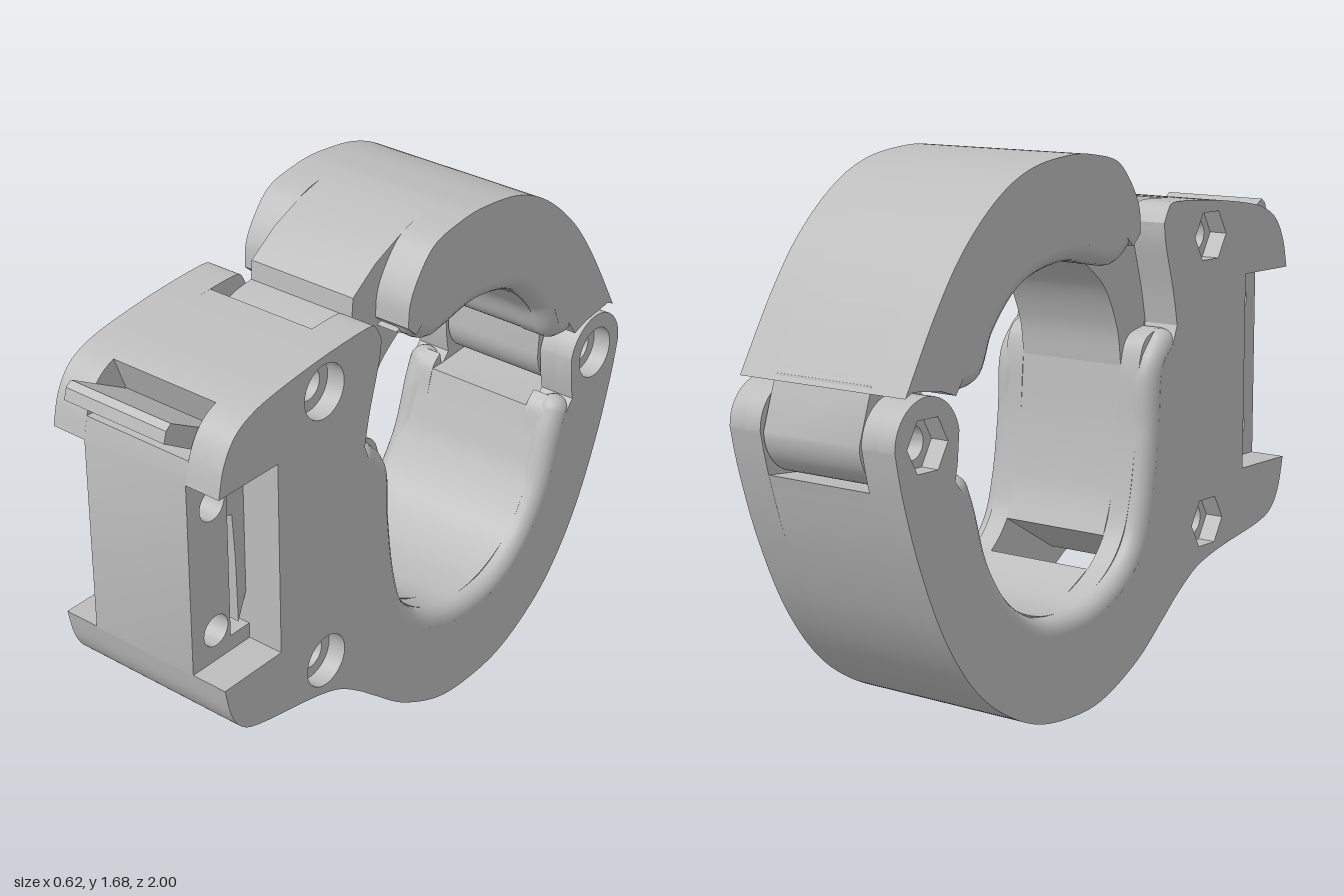
import * as THREE from 'three';
import { toCreasedNormals } from 'three/addons/utils/BufferGeometryUtils.js';

const HALF = 0.31, MID = 0.19, RIM = 0.05;

// All profiles are lists of [z, y] points, extruded along x.
const curve = (pts, n = 8) =>
  new THREE.SplineCurve(pts.map(p => new THREE.Vector2(...p)))
    .getPoints(n * (pts.length - 1)).map(v => [v.x, v.y]);

const arc = (z, y, r, a0, a1, n = 24) => Array.from({ length: n + 1 }, (_, i) => {
  const a = THREE.MathUtils.degToRad(a0 + (a1 - a0) * i / n);
  return [z + r * Math.cos(a), y + r * Math.sin(a)];
});
const hole = (z, y, r, sides = 32) => arc(z, y, r, 0, 360, sides).slice(0, sides);

const toPath = (pts, Kind) => new Kind(pts.map(p => new THREE.Vector2(...p)));

export function createModel() {
  const model = new THREE.Group();
  model.name = 'hingedClamp';
  const grey = new THREE.MeshStandardMaterial({ color: 0xbcbcbc });
  grey.name = 'grey';

  const add = (name, geo) => {
    const mesh = new THREE.Mesh(geo, grey);
    mesh.name = name;
    model.add(mesh);
  };
  const slab = (name, pts, x0, x1, holes = []) => {
    const shape = toPath(pts, THREE.Shape);
    shape.holes = holes.map(h => toPath(h, THREE.Path));
    const geo = new THREE.ExtrudeGeometry(shape, { depth: x1 - x0, bevelEnabled: false });
    geo.rotateY(-Math.PI / 2).translate(x1, 0, 0);
    add(name, toCreasedNormals(geo, 0.5));
  };
  // Slab on both sides of the middle layer
  const pair = (name, pts, a, b, holes) => {
    slab(name + 'Left', pts, a, b, holes);
    slab(name + 'Right', pts, -b, -a, holes);
  };
  // Rounded edge of the inner pad, with rounded ends
  const rim = (name, pts) => {
    for (const s of [-1, 1]) {
      const path = new THREE.CatmullRomCurve3(
        pts.map(([z, y]) => new THREE.Vector3(s * (HALF - RIM), y, z)));
      add(name, new THREE.TubeGeometry(path, 80, RIM, 16));
      for (const t of [0, 1]) {
        const end = path.getPoint(t);
        add(name + 'End', new THREE.SphereGeometry(RIM, 16, 12).translate(end.x, end.y, end.z));
      }
    }
  };

  // Shared body profiles
  const bodyTop = curve([[0.26, 1.48], [0.3, 1.5], [0.5, 1.49], [0.7, 1.465], [0.8, 1.44],
    [0.865, 1.4], [0.908, 1.33], [0.93, 1.24]]);
  const chin = [[0.93, 0.61], [0.905, 0.51], [0.86, 0.445], [0.78, 0.412], [0.6, 0.378],
    [0.5, 0.355], [0.42, 0.325]];
  const belly = [[-0.05, 0.02], [-0.2, 0], [-0.38, 0.02], [-0.55, 0.1], [-0.68, 0.21],
    [-0.8, 0.38], [-0.9, 0.6], [-0.965, 0.8]];
  const padInner = [[-0.7, 0.82], [-0.66, 0.78], [-0.63, 0.68], [-0.58, 0.55], [-0.48, 0.41],
    [-0.35, 0.335], [-0.22, 0.315], [-0.1, 0.33], [0.02, 0.39], [0.1, 0.48], [0.14, 0.6],
    [0.17, 0.8], [0.185, 1.0], [0.22, 1.085], [0.3, 1.11]];
  const padOuter = [[-0.71, 0.77], [-0.685, 0.71], [-0.62, 0.52], [-0.51, 0.37], [-0.37, 0.285],
    [-0.22, 0.265], [-0.08, 0.285], [0.06, 0.355], [0.145, 0.45], [0.19, 0.59], [0.22, 0.8],
    [0.235, 0.99], [0.29, 1.06]];

  // Body cheeks, with round bores on the left and hexagonal ones on the right
  const cheek = [
    ...bodyTop, [0.69, 1.24], [0.69, 0.61],
    ...curve([...chin, [0.33, 0.265], [0.25, 0.2], [0.12, 0.1], ...belly, [-0.995, 0.93]]),
    ...arc(-0.86, 0.93, 0.135, 170, 10), [-0.735, 0.86], [-0.745, 0.81],
    ...curve(padOuter),
    ...curve([[0.313, 1.12], [0.29, 1.23], [0.25, 1.37], [0.24, 1.44]]),
  ];
  const bolts = [[0.49, 1.38], [0.49, 0.47], [-0.86, 0.93]];
  const bores = (r, sides) => bolts.map(([z, y]) => hole(z, y, r, sides));
  pair('bodyCheekInner', cheek, MID, 0.25, bores(0.05));
  slab('bodyCheekOuterLeft', cheek, 0.25, HALF, bores(0.085));
  slab('bodyCheekOuterRight', cheek, -HALF, -0.25, bores(0.085, 6));

  // Body pad on either side of the middle layer
  pair('bodyPad', [...curve(padInner), ...curve(padOuter).reverse()], MID, HALF - RIM);
  rim('bodyPadRim', padOuter);

  // Middle of the lower ring, cut away at the hinge and at the lower slot
  slab('lowerRingMiddle', [
    ...curve(padInner.slice(1, 9)),
    [0.2, 0.22], [0.17, 0.14], [0.1, 0.065],
    ...curve(belly), [-0.72, 0.78],
  ], -MID, MID);

  // Middle front block with the upper tab slot and the latch gap
  slab('frontBlock', [
    [0.4, 1.497], ...bodyTop.filter(p => p[0] > 0.42 && p[0] < 0.8 && p[1] > 1.43),
    [0.8, 1.44], [0.75, 1.31], [0.915, 1.31], [0.93, 1.24],
    ...curve(chin), [0.33, 0.345],
    ...curve(padInner.slice(9, 13)), [0.3, 1.1], [0.38, 1.28],
  ], -MID, MID, [
    [[0.69, 0.66], [0.77, 0.66], [0.77, 1.22], [0.69, 1.22]],
    hole(0.83, 1.13, 0.05), hole(0.83, 0.71, 0.05),
    hole(0.49, 1.38, 0.05), hole(0.49, 0.47, 0.05),
  ]);
  slab('latchBar', [[0.685, 0.78], [0.725, 0.68], [0.73, 0.9], [0.74, 1.05], [0.775, 1.06],
    [0.775, 1.19], [0.7, 1.21], [0.685, 1.16]], -0.18, 0.18);
  slab('releaseTab', [[0.97, 1.45], [0.99, 1.435], [1, 1.4], [0.79, 1.27], [0.74, 1.32]],
    -0.185, 0.185);

  // Swinging arm
  const armTop = [[0, 1.642], [-0.1, 1.667], [-0.22, 1.675], [-0.4, 1.65], [-0.55, 1.58],
    [-0.7, 1.45], [-0.82, 1.29], [-0.95, 1.07]];
  const armFoot = [[-0.92, 1.085], [-0.86, 1.078], [-0.8, 1.07], [-0.74, 1.05]];
  const armInner = [[-0.73, 1.055], [-0.66, 1.055], [-0.6, 1.1], [-0.55, 1.2], [-0.42, 1.315],
    [-0.22, 1.365], [-0.06, 1.34], [0, 1.333], [0.05, 1.36], [0.11, 1.39]];
  const armOuter = [[-0.7, 1.105], [-0.65, 1.115], [-0.595, 1.225], [-0.45, 1.36],
    [-0.22, 1.415], [-0.06, 1.39], [0, 1.383], [0.05, 1.415]];
  pair('armCheek', [
    ...curve([[0.118, 1.42], [0.11, 1.5], [0.065, 1.58], ...armTop]),
    ...armFoot, ...curve(armOuter), [0.08, 1.385],
  ], MID, HALF);
  pair('armPad', [...curve(armInner), ...curve(armOuter).reverse()], MID, HALF - RIM);
  rim('armPadRim', armOuter);

  // Arm middle, whose front end hooks down into the body
  slab('armMiddle', [
    ...curve(armTop), ...armFoot, ...curve(armInner.slice(1, 7)),
    ...curve([[0, 1.333], [0.1, 1.25], [0.165, 1.12], [0.185, 1.0]]),
    [0.3, 1.1], [0.36, 1.29], [0.35, 1.43], [0.29, 1.45], [0.225, 1.46], [0.22, 1.52],
    [0.12, 1.59],
  ], -MID, MID);

  // Hinge knuckle between the body cheeks
  slab('hingeKnuckle', [[-0.94, 1.09], ...arc(-0.86, 0.93, 0.132, 180, 360), [-0.735, 1.07]],
    -0.18, 0.18, [hole(-0.86, 0.93, 0.05)]);

  return model;
}
